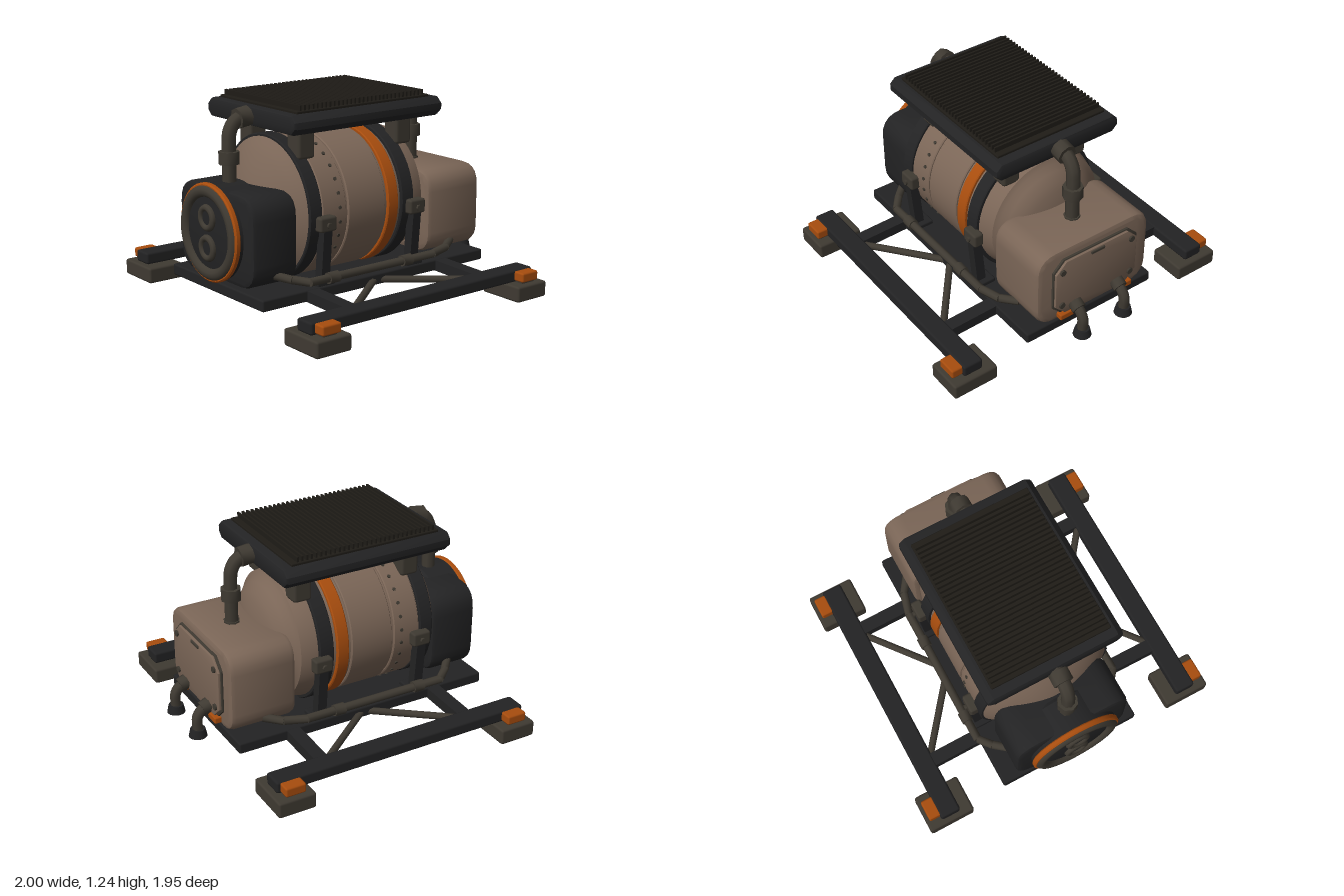
import * as THREE from 'three';
import { toCreasedNormals } from 'three/addons/utils/BufferGeometryUtils.js';
import { RoundedBoxGeometry } from 'three/addons/geometries/RoundedBoxGeometry.js';

const paint = (name, color) => Object.assign(new THREE.MeshStandardMaterial({ color }), { name });

export function createModel() {
  const model = new THREE.Group();
  model.name = 'tankUnit';
  const tan = paint('tan', 0x7b6657);
  const dark = paint('charcoal', 0x232324);
  const metal = paint('gunmetal', 0x3f3a32);
  const orange = paint('orange', 0xa84d0e);
  const fin = paint('finBrown', 0x1f1c17);
  const V = (x, y, z) => new THREE.Vector3(x, y, z);

  const add = (name, geo, mat, x = 0, y = 0, z = 0) => {
    const m = new THREE.Mesh(geo, mat);
    m.name = name;
    m.position.set(x, y, z);
    model.add(m);
    return m;
  };
  // bevelled box given by its ranges
  const box = (name, mat, [x0, x1], [y0, y1], [z0, z1], r = 0.01) => add(name,
    new RoundedBoxGeometry(x1 - x0, y1 - y0, z1 - z0, 1, r), mat,
    (x0 + x1) / 2, (y0 + y1) / 2, (z0 + z1) / 2);
  // square or round bar between two points
  const bar = (name, mat, a, b, w, h, round = false) => {
    const len = a.distanceTo(b);
    const geo = round ? new THREE.CylinderGeometry(w, w, len, 8).rotateX(Math.PI / 2)
      : new THREE.BoxGeometry(w, h, len);
    const m = add(name, toCreasedNormals(geo, 0.9));
    m.material = mat;
    m.position.copy(a).lerp(b, 0.5);
    m.lookAt(b);
    return m;
  };
  const pipe = (name, mat, pts, r) => add(name,
    new THREE.TubeGeometry(new THREE.CatmullRomCurve3(pts), 28, r, 8), mat);
  // revolved profile of [radius, z], z rising, about the z axis
  const turned = (name, mat, pts, y, seg = 48) => add(name, toCreasedNormals(
    new THREE.LatheGeometry(pts.map(p => new THREE.Vector2(...p)), seg).rotateX(Math.PI / 2), 0.5), mat, 0, y, 0);
  // rounded-corner block running along z with bevelled ends
  const block = (name, mat, hw, [y0, y1], [z0, z1], r, bevel, steps = 5) => {
    const s = new THREE.Shape(), w = hw - bevel, b = y0 + bevel, t = y1 - bevel;
    s.moveTo(-w + r, b).lineTo(w - r, b).quadraticCurveTo(w, b, w, b + r);
    s.lineTo(w, t - r).quadraticCurveTo(w, t, w - r, t);
    s.lineTo(-w + r, t).quadraticCurveTo(-w, t, -w, t - r);
    s.lineTo(-w, b + r).quadraticCurveTo(-w, b, -w + r, b);
    const geo = new THREE.ExtrudeGeometry(s, { depth: z1 - z0 - 2 * bevel, bevelSize: bevel,
      bevelThickness: bevel, bevelSegments: 2, curveSegments: steps });
    return add(name, toCreasedNormals(geo, 0.6), mat, 0, 0, z0 + bevel);
  };

  // ---- base frame ----
  box('basePlate', dark, [-0.47, 0.47], [0.115, 0.185], [-0.8, 0.9], 0.012);
  for (const s of [-1, 1]) {
    const span = (a, b) => s > 0 ? [a, b] : [-b, -a];
    box('sideRail', dark, span(0.78, 0.91), [0.1, 0.175], [-0.79, 0.9], 0.015);
    for (const [z0, z1] of [[0.69, 0.93], [-0.825, -0.585]]) {
      box('footPad', metal, span(0.7, 1), [0, 0.1], [z0, z1], 0.015);
      const c = (z0 + z1) / 2;
      box('footLight', orange, span(0.9, 0.98), [0.11, 0.17], [c - 0.065, c + 0.065], 0.012);
      box('lightMount', metal, span(0.9, 0.96), [0.09, 0.12], [c - 0.05, c + 0.05], 0.005);
    }
    for (const z of [0.545, -0.445]) {
      bar('crossBeam', dark, V(s * 0.3, 0.152, z), V(s * 0.8, 0.138, z), 0.085, 0.066);
    }
    bar('brace', metal, V(s * 0.79, 0.14, -0.4), V(s * 0.45, 0.14, 0.03), 0.022, 0, true);
    bar('brace', metal, V(s * 0.79, 0.14, 0.51), V(s * 0.45, 0.14, 0.08), 0.022, 0, true);
  }

  // ---- tank ----
  const tankY = 0.58;
  turned('tankShell', tan, [[0, -0.49], [0.1, -0.485], [0.165, -0.475], [0.23, -0.455], [0.28, -0.435],
    [0.33, -0.395], [0.36, -0.36], [0.39, -0.345], [0.415, -0.25], [0.42, 0.54], [0.395, 0.56],
    [0.37, 0.58], [0.33, 0.605], [0.27, 0.635], [0.165, 0.68], [0.08, 0.697], [0, 0.7]], tankY);
  const band = (name, mat, r, z0, z1) =>
    turned(name, mat, [[0.34, z0], [r - 0.006, z0], [r, z0 + 0.006], [r, z1 - 0.006], [r - 0.006, z1], [0.34, z1]], tankY);
  band('frontBand', dark, 0.438, 0.45, 0.54);
  band('frontPanelRing', tan, 0.431, 0.27, 0.445);
  band('middlePanelRing', tan, 0.431, -0.025, 0.255);
  band('orangeBand', orange, 0.436, -0.125, -0.045);
  band('rearBand', dark, 0.438, -0.245, -0.15);
  for (let i = 0; i < 32; i++) {
    const a = (i + 0.5) / 32 * Math.PI * 2;
    const bolt = add('tankBolt', new THREE.CylinderGeometry(0.011, 0.011, 0.014, 6), metal,
      Math.cos(a) * 0.431, tankY + Math.sin(a) * 0.431, 0.32);
    bolt.rotation.z = a - Math.PI / 2;
  }

  // ---- front housing with round hatch ----
  block('frontHousing', dark, 0.378, [0.2, 0.742], [0.585, 0.895], 0.12, 0.025);
  const hatchY = 0.485;
  turned('hatchDrum', dark, [[0, 0.7], [0.27, 0.7], [0.285, 0.72], [0.285, 0.925], [0.2, 0.945], [0, 0.945]], hatchY);
  turned('hatchRim', orange, [[0.25, 0.915], [0.285, 0.915], [0.292, 0.922], [0.292, 0.943], [0.284, 0.95], [0.25, 0.95]], hatchY);
  add('hatchRing', new THREE.TorusGeometry(0.245, 0.038, 10, 48), metal, 0, hatchY, 0.932);
  for (const dy of [-0.09, 0.09]) {
    add('portRing', new THREE.TorusGeometry(0.06, 0.021, 8, 28), metal, 0, hatchY + dy, 0.95);
    add('portCore', new THREE.CylinderGeometry(0.042, 0.042, 0.015, 20).rotateX(Math.PI / 2), dark, 0, hatchY + dy, 0.948);
  }

  // ---- rear housing with service panel ----
  block('rearHousing', tan, 0.41, [0.205, 0.725], [-0.815, -0.39], 0.1, 0.03);
  block('panelGasket', metal, 0.31, [0.255, 0.665], [-0.828, -0.81], 0.07, 0.003, 1);
  block('servicePanel', tan, 0.3, [0.265, 0.655], [-0.843, -0.82], 0.07, 0.005, 1);
  for (const s of [-1, 1]) {
    for (const y of [0.34, 0.59]) {
      add('panelBolt', new THREE.CylinderGeometry(0.02, 0.02, 0.02, 8).rotateX(Math.PI / 2), metal, s * 0.255, y, -0.845);
    }
    box('panelLatch', orange, [s * 0.22 - 0.05, s * 0.22 + 0.05], [0.23, 0.27], [-0.858, -0.81], 0.008);
    // outlet spouts
    const x = s * 0.157;
    pipe('outletPipe', metal, [V(x, 0.305, -0.82), V(x, 0.295, -0.86), V(x, 0.275, -0.895),
      V(x, 0.235, -0.92), V(x, 0.15, -0.92)], 0.033);
    bar('outletCollar', metal, V(x, 0.31, -0.838), V(x, 0.287, -0.885), 0.046, 0, true);
    add('outletCap', new THREE.CylinderGeometry(0.045, 0.056, 0.05, 16), dark, x, 0.14, -0.92);
  }
  box('panelHandle', metal, [-0.05, 0.05], [0.625, 0.645], [-0.852, -0.83], 0.005);

  // ---- roof radiator ----
  const cz = 0.092;
  const slab = block('radiatorTray', dark, 0.44, [1.075, 1.19], [cz - 0.558, cz + 0.558], 0.025, 0.022, 1);
  slab.name = 'radiatorTray';
  box('radiatorCore', fin, [-0.385, 0.385], [1.17, 1.205], [-0.4, 0.59], 0.006);
  for (let i = 0; i < 31; i++) {
    add('radiatorFin', new THREE.BoxGeometry(0.75, 0.035, 0.012), fin, 0, 1.218, -0.355 + i * 0.0304);
  }
  for (const s of [-1, 1]) for (const z of [0.455, -0.28]) {
    box('radiatorMount', metal, [s * 0.24 - 0.06, s * 0.24 + 0.06], [0.9, 1.08], [z - 0.06, z + 0.06], 0.02);
  }

  // ---- coolant risers, front and rear ----
  for (const [z, d] of [[0.792, -1], [-0.6, 1]]) {
    pipe('riserPipe', metal, [V(0, 0.68, z), V(0, 0.85, z), V(0, 1, z), V(0, 1.06, z + d * 0.008),
      V(0, 1.11, z + d * 0.04), V(0, 1.132, z + d * 0.09), V(0, 1.135, z + d * 0.18)], 0.042);
    bar('riserCollar', metal, V(0, 0.87, z), V(0, 0.945, z), 0.062, 0, true);
    bar('elbowCollar', metal, V(0, 1.128, z + d * 0.06), V(0, 1.138, z + d * 0.135), 0.062, 0, true);
    bar('riserBase', metal, V(0, 0.7, z), V(0, 0.735, z), 0.05, 0, true);
  }

  // ---- tank cradle and side lines ----
  for (const s of [-1, 1]) {
    for (const z of [0.44, -0.24]) {
      bar('cradlePost', dark, V(s * 0.415, 0.17, z), V(s * 0.45, 0.56, z), 0.06, 0.06);
      box('cradleClamp', metal, [s * 0.45 - 0.034, s * 0.45 + 0.034], [0.505, 0.595], [z - 0.06, z + 0.06], 0.015);
      add('clampBolt', new THREE.CylinderGeometry(0.018, 0.018, 0.02, 6).rotateZ(Math.PI / 2), metal, s * 0.487, 0.545, z);
      box('cradleFoot', dark, [s * 0.4 - 0.06, s * 0.4 + 0.06], [0.17, 0.21], [z - 0.065, z + 0.065], 0.01);
    }
    const line = [V(0.34, 0.27, 0.73), V(0.42, 0.25, 0.66), V(0.485, 0.235, 0.58),
      V(0.485, 0.235, -0.36), V(0.45, 0.245, -0.5), V(0.38, 0.26, -0.6)].map(p => p.setX(p.x * s));
    for (let i = 0; i < line.length - 1; i++) {
      bar('sideLine', metal, line[i], line[i + 1], 0.026, 0, true);
    }
    for (const z of [0.38, -0.18]) {
      bar('lineCollar', metal, V(s * 0.485, 0.235, z), V(s * 0.485, 0.235, z + 0.07), 0.036, 0, true);
    }
  }
  return model;
}
